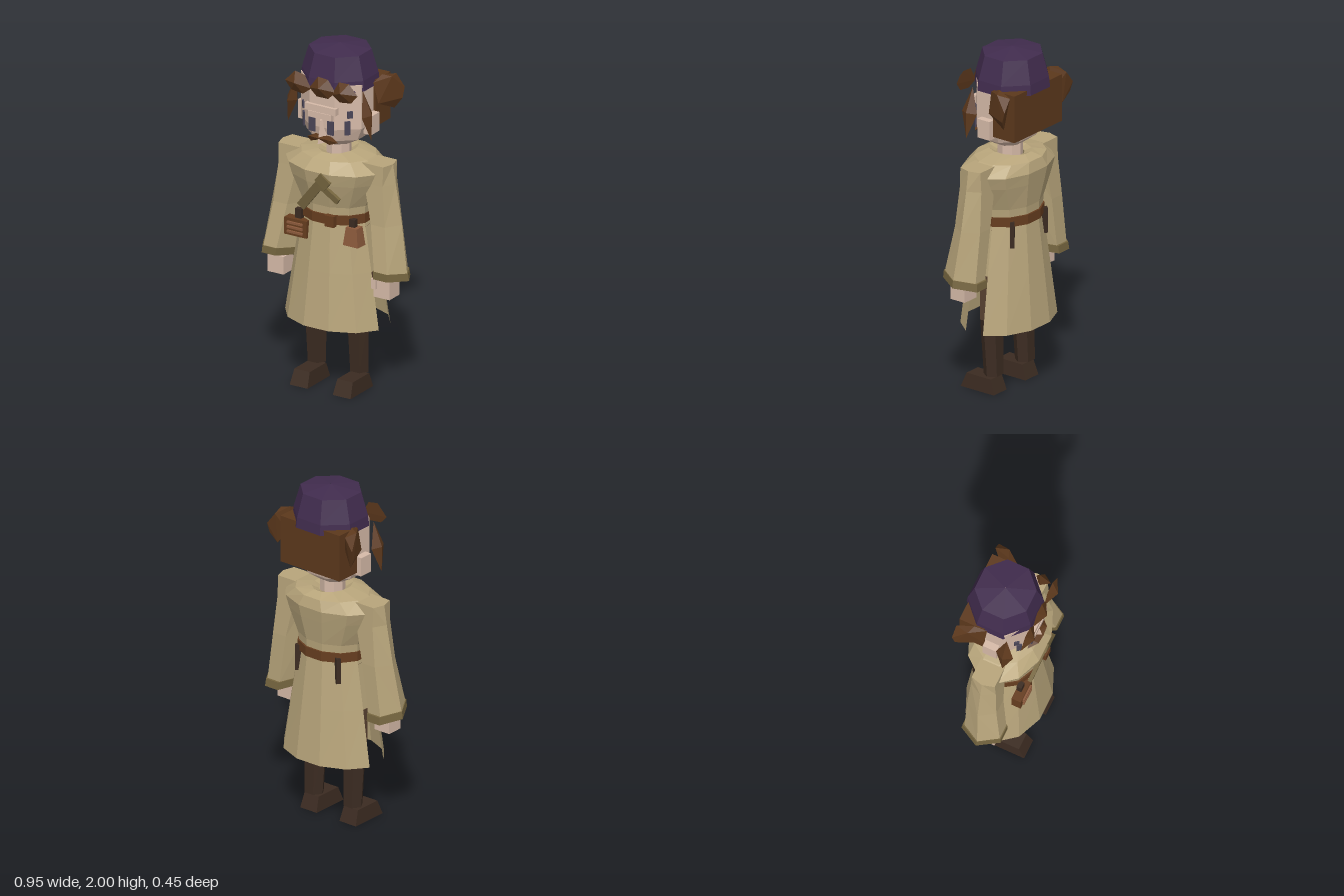
import * as THREE from 'three';
import { ConvexGeometry } from 'three/addons/geometries/ConvexGeometry.js';

const paint = (name, color, double = false) => {
  const m = new THREE.MeshStandardMaterial({ color, flatShading: true });
  m.name = name;
  if (double) m.side = THREE.DoubleSide;
  return m;
};

// Elliptical ring of n points with flats facing the axes
const ring = (n, y, w, d, zc = 0) => Array.from({ length: n }, (_, i) => {
  const a = ((i + 0.5) / n) * Math.PI * 2, k = 1 / Math.cos(Math.PI / n);
  return [Math.sin(a) * w * k, y, Math.cos(a) * d * k + zc];
});

// Faceted skin over rings listed bottom to top; skip(level, side) leaves openings
function loft(rings, { top = false, bottom = false, skip = () => false } = {}) {
  const p = [], n = rings[0].length;
  const tri = (a, b, c) => p.push(...a, ...b, ...c);
  for (let r = 0; r < rings.length - 1; r++) {
    for (let i = 0; i < n; i++) {
      if (skip(r, i)) continue;
      const j = (i + 1) % n, A = rings[r], B = rings[r + 1];
      tri(A[i], A[j], B[j]);
      tri(A[i], B[j], B[i]);
    }
  }
  const last = rings[rings.length - 1];
  for (let i = 1; i < n - 1; i++) {
    if (top) tri(last[0], last[i], last[i + 1]);
    if (bottom) tri(rings[0][0], rings[0][i + 1], rings[0][i]);
  }
  const g = new THREE.BufferGeometry();
  g.setAttribute('position', new THREE.Float32BufferAttribute(p, 3));
  g.computeVertexNormals();
  return g;
}

const hull = (pts) => new ConvexGeometry(pts.map((q) => new THREE.Vector3(...q)));

export function createModel() {
  const coat = paint('coat tan', 0xb8a57b, true);
  const trim = paint('olive trim', 0x75653f, true);
  const purple = paint('cap purple', 0x412c4e);
  const skin = paint('skin', 0xd6baa8);
  const hair = paint('hair brown', 0x5c381c);
  const leather = paint('belt leather', 0x663d1f);
  const pouchTan = paint('pouch leather', 0x8c5a3c);
  const boot = paint('boot brown', 0x3b2b21);
  const trousers = paint('trouser brown', 0x5a4231);
  const glass = paint('eye slate', 0x4a4557);

  const model = new THREE.Group();
  model.name = 'coatedFigure';
  const add = (parent, name, geo, mat, pos = [0, 0, 0], rot = [0, 0, 0]) => {
    const m = new THREE.Mesh(geo, mat);
    m.name = name;
    m.position.set(...pos);
    m.rotation.set(...rot);
    parent.add(m);
    return m;
  };
  const box = (parent, name, size, pos, mat, rot) =>
    add(parent, name, new THREE.BoxGeometry(...size), mat, pos, rot);
  const gem = (parent, name, size, pos, mat, rot) => {
    const g = new THREE.OctahedronGeometry(1);
    g.scale(...size);
    return add(parent, name, g, mat, pos, rot);
  };

  // Coat: skirt with side slits, then bodice and shoulders
  const slit = (r, i) => r === 0 && (i === 2 || i === 8);
  add(model, 'coatSkirt', loft([
    ring(12, 0.39, 0.305, 0.222), ring(12, 0.72, 0.252, 0.192), ring(12, 1.03, 0.2, 0.162),
  ], { skip: slit }), coat);
  add(model, 'coatBodice', loft([
    ring(12, 1.03, 0.2, 0.164), ring(12, 1.1, 0.208, 0.168), ring(12, 1.24, 0.275, 0.198, 0.005),
    ring(12, 1.31, 0.3, 0.21, 0.005), ring(12, 1.37, 0.215, 0.178, -0.01),
    ring(12, 1.395, 0.1, 0.125, -0.01), ring(12, 1.375, 0.07, 0.08, -0.01),
  ]), coat);

  // Belt and buckle
  add(model, 'belt', loft([
    ring(12, 1.0, 0.207, 0.176), ring(12, 1.055, 0.207, 0.176),
  ], { top: true, bottom: true }), leather);
  box(model, 'buckle', [0.06, 0.065, 0.03], [0.07, 1.03, 0.185], leather);

  // Satchel with raised slats
  box(model, 'satchel', [0.145, 0.1, 0.055], [-0.163, 0.935, 0.15], leather);
  for (const y of [0.908, 0.935, 0.962]) {
    box(model, 'satchelSlat', [0.1, 0.012, 0.014], [-0.163, y, 0.182], pouchTan);
  }
  box(model, 'satchelStrap', [0.04, 0.07, 0.03], [-0.16, 1.005, 0.14], boot);

  // Hip pouch
  add(model, 'hipPouch', hull([-1, 1].flatMap((s) => [
    [0.18 + s * 0.048, 0.885, 0.075], [0.18 + s * 0.048, 0.89, 0.155],
    [0.18 + s * 0.035, 0.995, 0.085], [0.18 + s * 0.035, 0.995, 0.145],
  ])), pouchTan);
  box(model, 'pouchStrap', [0.035, 0.06, 0.03], [0.175, 1.01, 0.115], boot);

  // Chest clasp: slanted shaft with a cross piece
  box(model, 'claspShaft', [0.052, 0.24, 0.022], [-0.045, 1.17, 0.195], trim, [0.12, 0, -0.68]);
  box(model, 'claspHead', [0.08, 0.06, 0.025], [0.04, 1.265, 0.21], trim, [0.05, 0, -0.68]);
  box(model, 'claspArm', [0.14, 0.036, 0.02], [0.075, 1.2, 0.203], trim, [0.1, 0, -0.6]);

  // Head and neck
  add(model, 'neck', new THREE.CylinderGeometry(0.07, 0.07, 0.1, 8), skin, [0, 1.41, -0.01]);
  add(model, 'head', loft([
    ring(8, 1.435, 0.08, 0.075), ring(8, 1.485, 0.165, 0.14), ring(8, 1.56, 0.198, 0.162),
    ring(8, 1.82, 0.198, 0.162),
  ], { top: true, bottom: true }), skin);
  box(model, 'brow', [0.2, 0.04, 0.03], [0, 1.672, 0.165], skin);
  box(model, 'browLower', [0.15, 0.035, 0.03], [0, 1.635, 0.17], skin);
  add(model, 'nose', hull([[-0.03, 1.475, 0.15], [0.03, 1.475, 0.15], [0, 1.475, 0.205],
    [-0.012, 1.62, 0.15], [0.012, 1.62, 0.15], [0, 1.6, 0.178]]), skin);

  // Cap
  add(model, 'cap', loft([
    ring(8, 1.78, 0.206, 0.196, -0.025), ring(8, 1.84, 0.2, 0.19, -0.025),
    ring(8, 1.975, 0.163, 0.157, -0.025), ring(8, 2.0, 0.001, 0.001, -0.025),
  ], { bottom: true }), purple);

  // Hair at the back and three fringe tufts
  box(model, 'backHair', [0.42, 0.275, 0.15], [0, 1.6725, -0.13], hair);
  for (const [x, y, tilt] of [[-0.145, 1.8, -0.12], [0.012, 1.8, 0], [0.155, 1.8, 0.12]]) {
    add(model, 'fringeTuft', hull([
      [-0.085, -0.015, -0.01], [-0.03, 0.06, -0.012], [0.035, 0.055, -0.012], [0.085, -0.01, -0.01],
      [0.04, -0.055, -0.005], [-0.035, -0.055, -0.005], [0, 0.01, 0.035],
    ]), hair, [x, y, 0.185], [0, 0, tilt]);
  }

  // Paired parts, built on the left and mirrored to the right
  for (const side of [1, -1]) {
    const half = new THREE.Group();
    half.name = side > 0 ? 'leftSide' : 'rightSide';
    half.scale.x = side;
    model.add(half);

    // Sleeve and cuff: six-sided rings that tilt down at the back
    const cuffRing = (y, x0, x1, z0, z1, k, tilt = 0) => {
      const e = (x1 - x0) * k, zm = (z0 + z1) / 2;
      return [[x0 + e, z1], [x1 - e, z1], [x1, zm], [x1 - e, z0], [x0 + e, z0], [x0, zm]]
        .map(([x, z]) => [x, y + (z - zm) * tilt, z]);
    };
    add(half, 'sleeve', loft([
      cuffRing(0.74, 0.255, 0.466, -0.085, 0.13, 0.3, 0.14),
      cuffRing(1.02, 0.215, 0.42, -0.085, 0.09, 0.28),
      cuffRing(1.25, 0.18, 0.378, -0.075, 0.075, 0.2),
      cuffRing(1.365, 0.165, 0.36, -0.07, 0.07, 0.1),
    ], { top: true }), coat);
    add(half, 'cuff', loft([
      cuffRing(0.705, 0.25, 0.476, -0.1, 0.137, 0.3, 0.14),
      cuffRing(0.748, 0.25, 0.47, -0.095, 0.135, 0.3, 0.14),
    ], { top: true, bottom: true }), trim);
    box(half, 'hand', [0.105, 0.13, 0.1], [0.345, 0.665, 0.045], skin);
    box(half, 'thumb', [0.03, 0.06, 0.035], [0.3, 0.68, 0.09], skin);

    // Legs and shoes
    add(half, 'thigh', new THREE.CylinderGeometry(0.085, 0.08, 0.55, 6), trousers, [0.135, 0.705, 0]);
    add(half, 'bootShaft', loft([
      ring(6, 0.1, 0.052, 0.046, -0.003), ring(6, 0.43, 0.062, 0.052, 0.012),
    ], { top: true, bottom: true }).translate(0.138, 0, 0), boot);
    add(half, 'shoe', hull([-1, 1].flatMap((s) => [
      [0.14 + s * 0.058, 0, 0.18], [0.14 + s * 0.058, 0, -0.05],
      [0.14 + s * 0.05, 0.085, 0.145], [0.14 + s * 0.05, 0.085, -0.022],
    ])), boot);
    box(half, 'backStrap', [0.035, 0.15, 0.025], [0.14, 0.955, -0.135], boot, [0, 0.6, 0]);

    // Ears, eyes and moustache
    box(half, 'ear', [0.05, 0.11, 0.085], [0.213, 1.575, -0.01], skin);
    box(half, 'eye', [0.042, 0.08, 0.009], [0.06, 1.57, 0.168], glass);
    box(half, 'eyeSide', [0.03, 0.08, 0.009], [0.142, 1.572, 0.124], glass, [0, 0.86, 0]);
    box(half, 'templeMark', [0.03, 0.04, 0.009], [0.152, 1.65, 0.114], glass, [0, 0.86, 0]);
    add(half, 'moustache', hull([
      [0, 1.515, 0.16], [0, 1.49, 0.16], [0, 1.51, 0.205], [0.055, 1.51, 0.2],
      [0.06, 1.475, 0.18], [0.05, 1.51, 0.145], [0.1, 1.485, 0.155],
    ]), hair);

    // Side lock and swept-back tuft
    gem(half, 'sideLock', [0.033, 0.145, 0.052], [0.243, 1.655, 0.083], hair, [0, 0, 0.2]);
    add(half, 'sweptTuft', hull([
      [0.205, 1.8, -0.04], [0.235, 1.68, -0.045], [0.22, 1.83, -0.11], [0.27, 1.82, -0.13],
      [0.25, 1.81, -0.205], [0.303, 1.74, -0.208], [0.3, 1.68, -0.19], [0.26, 1.62, -0.17],
      [0.205, 1.7, -0.15],
    ]), hair);
  }
  return model;
}
